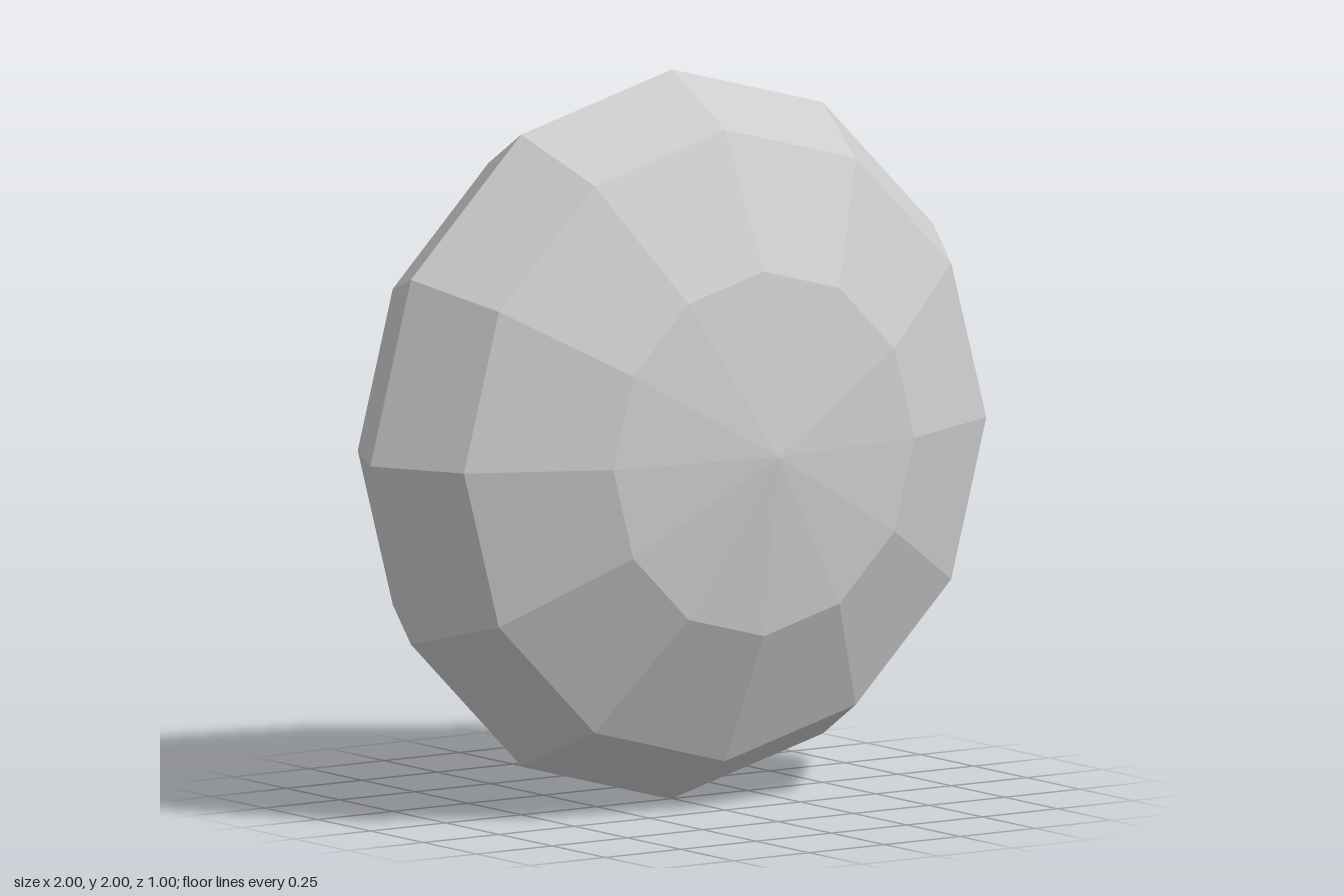
import * as THREE from 'three';

export function createModel() {
  const group = new THREE.Group();

  // Faceted ellipsoid: poles along z, flattened to half depth
  const sphere = new THREE.SphereGeometry(1, 12, 6);
  sphere.rotateX(Math.PI / 2);
  sphere.scale(1, 1, 0.5);
  const geometry = sphere.toNonIndexed();
  geometry.computeVertexNormals();

  const body = new THREE.Mesh(
    geometry,
    new THREE.MeshStandardMaterial({ color: 0xcccccc, flatShading: true })
  );
  body.name = 'flattenedSphere';
  body.position.y = 1;
  group.add(body);

  return group;
}
